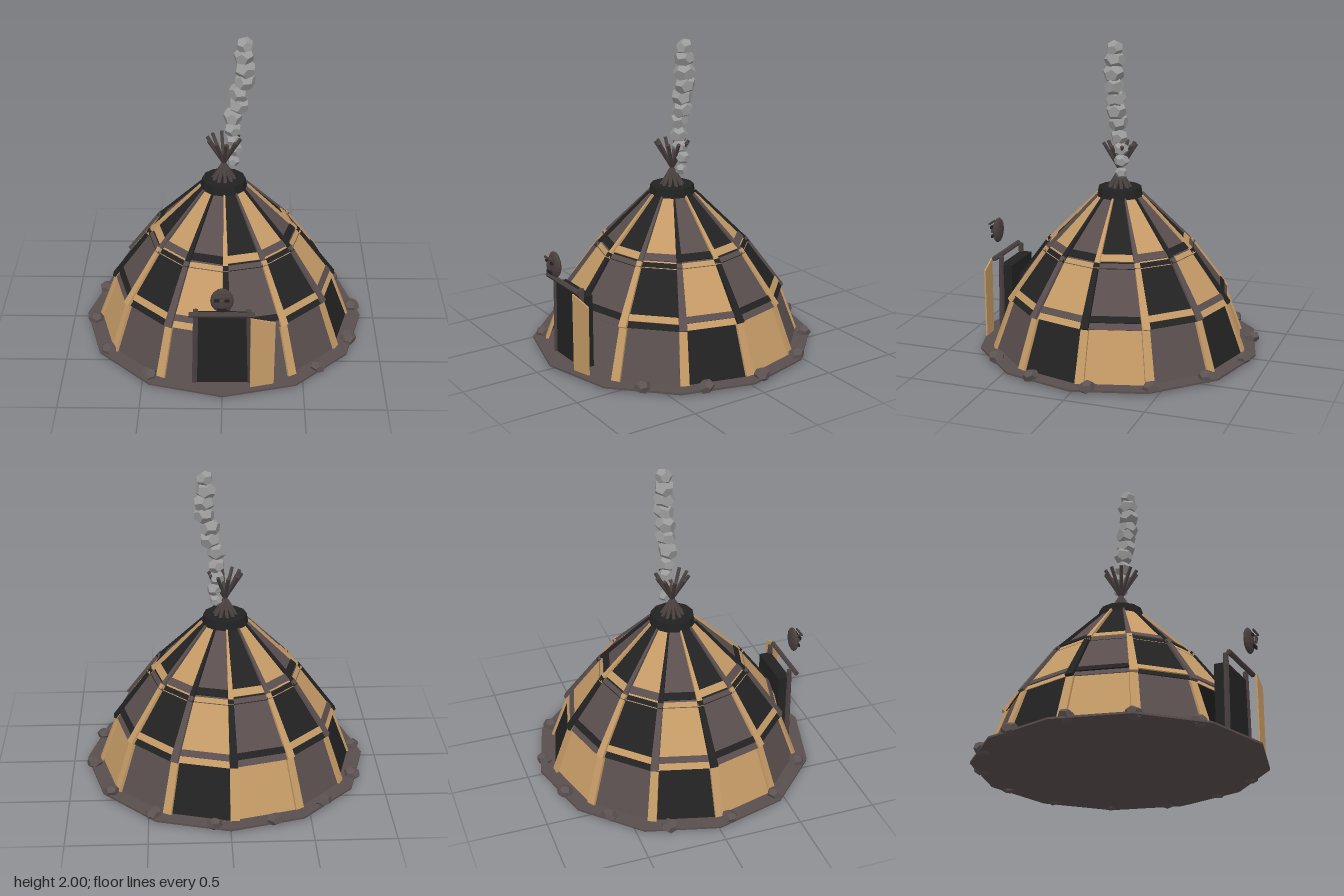
import * as THREE from 'three';

export function createModel() {
  const root = new THREE.Group();
  const mat = (name, color) => {
    const m = new THREE.MeshStandardMaterial({ color, flatShading: true, side: THREE.DoubleSide });
    m.name = name;
    return m;
  };
  const tan = mat('tan hide', 0xc49a66);
  const grey = mat('grey hide', 0x5a4e4e);
  const black = mat('black hide', 0x222222);
  const wood = mat('dark wood', 0x4a4040);
  const stone = mat('stone', 0x5c5252);
  const smoke = mat('smoke', 0x9a9a9a);

  const group = (name) => {
    const g = new THREE.Group();
    g.name = name;
    root.add(g);
    return g;
  };
  const add = (parent, name, geo, material, x = 0, y = 0, z = 0) => {
    const m = new THREE.Mesh(geo, material);
    m.name = name;
    m.position.set(x, y, z);
    parent.add(m);
    return m;
  };
  const V = (x, y, z) => new THREE.Vector3(x, y, z);
  const box = (w, h, d) => new THREE.BoxGeometry(w, h, d);

  // Four corners, counter-clockwise from outside, thickened outward
  const slab = (corners, thick) => {
    const [a, b, , d] = corners;
    const n = b.clone().sub(a).cross(d.clone().sub(a)).normalize().multiplyScalar(thick);
    const pts = [...corners, ...corners.map((p) => p.clone().add(n))];
    const geo = new THREE.BufferGeometry().setFromPoints(pts);
    const idx = [4, 5, 6, 4, 6, 7, 0, 2, 1, 0, 3, 2];
    for (let i = 0; i < 4; i++) {
      const j = (i + 1) % 4;
      idx.push(i, j, j + 4, i, j + 4, i + 4);
    }
    geo.setIndex(idx);
    const flat = geo.toNonIndexed();
    flat.computeVertexNormals();
    return flat;
  };

  // Round pole between two points
  const pole = (parent, name, a, b, r, material) => {
    const dir = b.clone().sub(a);
    const mid = a.clone().add(b).multiplyScalar(0.5);
    const m = add(parent, name, new THREE.CylinderGeometry(r, r, dir.length(), 6), material, mid.x, mid.y, mid.z);
    m.quaternion.setFromUnitVectors(V(0, 1, 0), dir.normalize());
  };

  // Ground disc
  add(root, 'groundDisc', new THREE.CylinderGeometry(0.91, 0.91, 0.012, 12), grey, 0, 0.024, 0);

  // Twelve-sided cover in three overlapping tiers: [y0, r0, y1, r1]
  const tiers = [
    [0.03, 0.81, 0.37, 0.685],
    [0.34, 0.715, 0.68, 0.465],
    [0.65, 0.488, 1.0, 0.14],
  ];
  const hides = [tan, grey, black];
  const cover = group('tentCover');
  const rad = Math.PI / 180;
  tiers.forEach(([y0, r0, y1, r1], t) => {
    const at = (deg, f) => {
      const r = r0 + (r1 - r0) * f;
      return V(r * Math.sin(deg * rad), y0 + (y1 - y0) * f, r * Math.cos(deg * rad));
    };
    for (let k = 0; k < 12; k++) {
      const a = k * 30, b = a + 30;
      const doorway = t === 0 && (k === 0 || k === 11);
      const trim = hides[(k + t + 1) % 3];
      if (!doorway) {
        add(cover, 'hidePanel', slab([at(a, 0), at(b, 0), at(b, 1), at(a, 1)], 0.004), hides[(k + t) % 3]);
      }
      // Rib strip along the panel edge
      if (!(t === 0 && k === 0)) {
        const rib = slab([at(a, 0), at(a + 4, 0), at(a + 4, 1), at(a, 1)], 0.018);
        add(cover, 'ribStrip', rib, t === 0 ? tan : trim);
      }
      // Horizontal band above the lower hem
      if (t > 0) {
        add(cover, 'hoopBand', slab([at(a, 0.1), at(b, 0.1), at(b, 0.2), at(a, 0.2)], 0.012), trim);
      }
    }
  });

  // Collar and crossing poles
  add(root, 'smokeCollar', new THREE.CylinderGeometry(0.138, 0.15, 0.075, 12), black, 0, 1.018, 0);
  const poles = group('crownPoles');
  for (let i = 0; i < 10; i++) {
    const a = (i / 10) * Math.PI * 2 + 0.15;
    const s = Math.sin(a), c = Math.cos(a);
    pole(poles, 'crownPole', V(-s * 0.1, 1.0, -c * 0.1), V(s * 0.105, 1.335, c * 0.105), 0.012, wood);
  }

  // Small seeded random for lumpy shapes
  let seed = 7;
  const rand = () => (seed = (seed * 16807) % 2147483647) / 2147483647;
  const lump = (parent, name, r, material, x, y, z, squash) => {
    const m = add(parent, name, new THREE.DodecahedronGeometry(r), material, x, y, z);
    m.scale.set(1, squash, 0.95);
    m.rotation.set(rand() * 0.5, rand() * 6, rand() * 0.4);
  };

  // Smoke column: [x, y, z, radius]
  const column = group('smokeColumn');
  [
    [0.06, 1.16, -0.03, 0.042], [0.07, 1.24, -0.035, 0.05], [0.055, 1.31, -0.025, 0.052],
    [0.055, 1.39, -0.015, 0.058], [0.055, 1.48, -0.01, 0.066], [0.095, 1.56, -0.01, 0.07],
    [0.095, 1.64, -0.01, 0.07], [0.13, 1.72, -0.01, 0.07], [0.13, 1.8, -0.005, 0.072],
    [0.12, 1.88, -0.01, 0.068], [0.125, 1.953, -0.01, 0.058],
  ].forEach(([x, y, z, r]) => lump(column, 'smokePuff', r, smoke, x, y, z, 0.85));

  // Stones around the rim
  const stones = group('rimStones');
  [
    [-0.27, -0.82], [0.1, -0.86], [0.47, -0.72], [0.74, -0.45], [0.86, -0.09], [0.81, 0.29],
    [0.6, 0.61], [-0.46, 0.71], [-0.73, 0.44], [-0.85, 0.08], [-0.81, -0.3], [-0.59, -0.62],
  ].forEach(([x, z]) => lump(stones, 'rimStone', 0.055, stone, x, 0.042, z, 0.72));

  // Doorway with posts, lintel and open leaf
  const door = group('doorway');
  add(door, 'doorBlock', box(0.33, 0.47, 0.08), black, 0, 0.265, 0.73);
  for (const s of [-1, 1]) {
    pole(door, 'doorPost', V(s * 0.172, 0.03, 0.765), V(s * 0.16, 0.555, 0.765), 0.018, wood);
  }
  pole(door, 'lintel', V(-0.2, 0.545, 0.8), V(0.195, 0.545, 0.8), 0.017, wood);
  add(door, 'doorLeaf', slab([
    V(0.17, 0.04, 0.825), V(0.315, 0.055, 0.805), V(0.32, 0.5, 0.805), V(0.17, 0.54, 0.825),
  ], 0.01), tan);

  // Hanging mask
  const mask = group('mask');
  const face = add(mask, 'maskFace', new THREE.SphereGeometry(1, 12, 8), wood, 0, 0.683, 0.855);
  face.scale.set(0.07, 0.083, 0.025);
  for (const s of [-1, 1]) {
    add(mask, 'maskEye', box(0.03, 0.016, 0.009), black, s * 0.03, 0.705, 0.892);
  }
  add(mask, 'maskNose', box(0.014, 0.05, 0.015), wood, 0, 0.685, 0.9);
  add(mask, 'maskMouth', box(0.06, 0.02, 0.009), black, 0, 0.64, 0.892);
  add(mask, 'maskBrow', box(0.09, 0.012, 0.009), wood, 0, 0.73, 0.9);

  return root;
}
